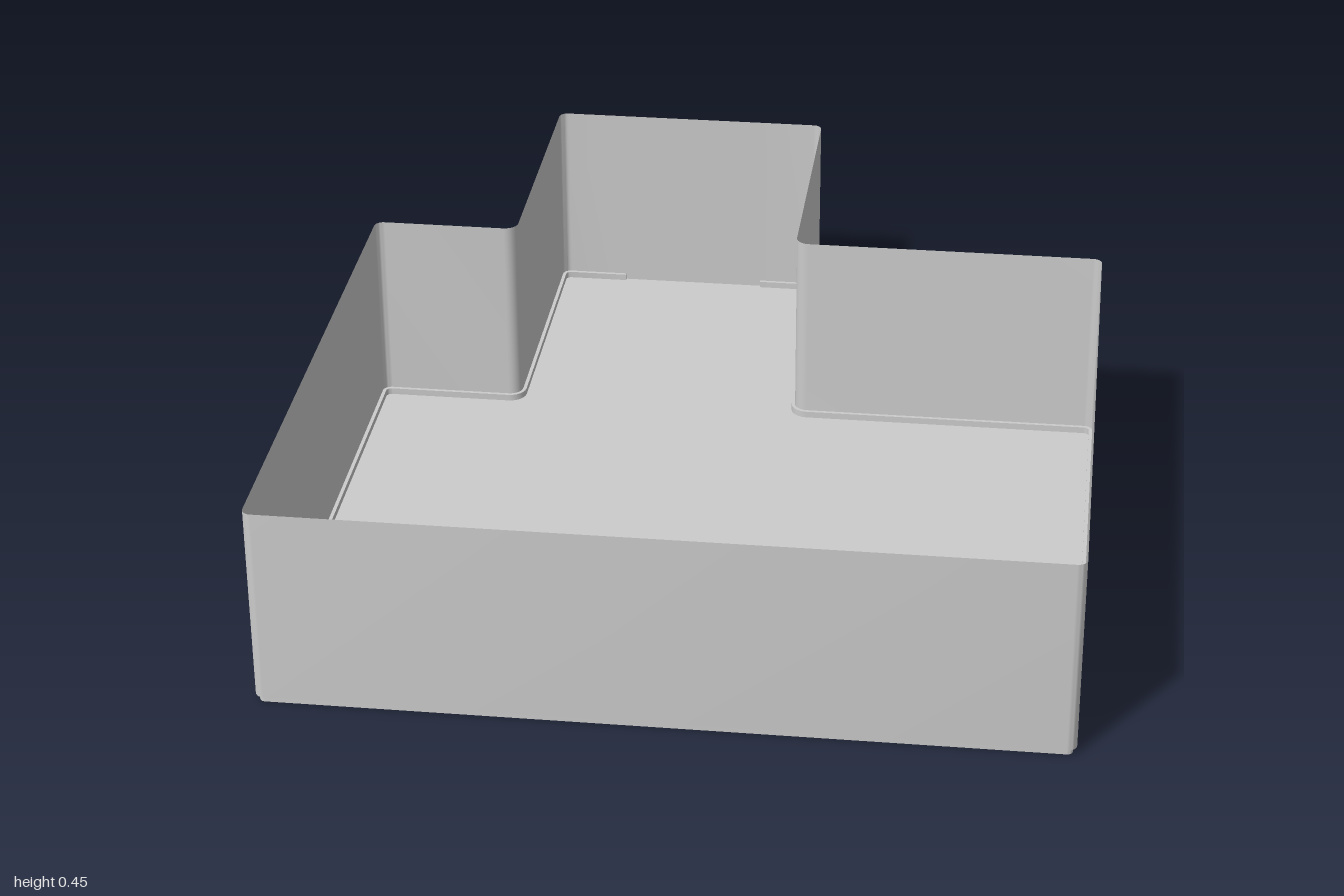
import * as THREE from 'three';
import { toCreasedNormals } from 'three/addons/utils/BufferGeometryUtils.js';

const HEIGHT = 0.45, STEP = 0.015, INSET = 0.008;
// Plan corners [x, z, radius, side]: side 1 is an outer corner, -1 an inner one
const CORNERS = [
  [-0.84, 1, 0.02, 1], [0.84, 1, 0.02, 1], [0.84, -0.34, 0.02, 1], [0.14, -0.34, 0.03, -1],
  [0.14, -1, 0.02, 1], [-0.51, -1, 0.02, 1], [-0.51, -0.34, 0.03, -1], [-0.84, -0.34, 0.02, 1],
];

const outward = (a, b) => new THREE.Vector2(a[1] - b[1], b[0] - a[0]).normalize();

// Rounded plan outline, moved inwards by d; the back keeps a full-depth tab
function outline(d) {
  const points = [], n = CORNERS.length, segments = 6;
  CORNERS.forEach((c, i) => {
    const [x, z, r, s] = c;
    const n1 = outward(CORNERS[(i + n - 1) % n], c);
    const n2 = outward(c, CORNERS[(i + 1) % n]);
    for (let k = 0; k <= segments; k++) {
      const t = (k / segments) * Math.PI / 2;
      const a = -s * r + (s * r - d) * Math.cos(t);
      const b = -s * r + (s * r - d) * Math.sin(t);
      points.push([x + n1.x * a + n2.x * b, z + n1.y * a + n2.y * b]);
    }
    if (i === 4) points.push([-0.01, -1 + d], [-0.01, -1], [-0.35, -1], [-0.35, -1 + d]);
  });
  return points;
}

// Closed strip between two matching outlines at two heights
function ribbon(low, yLow, high, yHigh) {
  const pos = [];
  low.forEach((p, i) => {
    const j = (i + 1) % low.length;
    const a = [p[0], yLow, p[1]], b = [low[j][0], yLow, low[j][1]];
    const c = [high[j][0], yHigh, high[j][1]], e = [high[i][0], yHigh, high[i][1]];
    pos.push(...a, ...b, ...c, ...a, ...c, ...e);
  });
  const g = new THREE.BufferGeometry();
  g.setAttribute('position', new THREE.Float32BufferAttribute(pos, 3));
  return toCreasedNormals(g, 0.6);
}

export function createModel() {
  const group = new THREE.Group();
  group.name = 'steppedTray';
  const material = new THREE.MeshStandardMaterial({ color: 0xcccccc, side: THREE.DoubleSide });
  const add = (name, geometry) => {
    const mesh = new THREE.Mesh(geometry, material);
    mesh.name = name;
    group.add(mesh);
  };
  const outer = outline(0), inner = outline(INSET);

  // Thin upright wall, narrow ledge under it, and the low rim down to the floor
  add('wall', ribbon(outer, STEP, outer, HEIGHT));
  add('ledge', ribbon(inner, STEP, outer, STEP));
  add('baseRim', ribbon(inner, 0, inner, STEP));

  // Flat floor
  const shape = new THREE.Shape(inner.map(([x, z]) => new THREE.Vector2(x, -z)));
  add('floor', new THREE.ShapeGeometry(shape).rotateX(-Math.PI / 2));
  return group;
}
